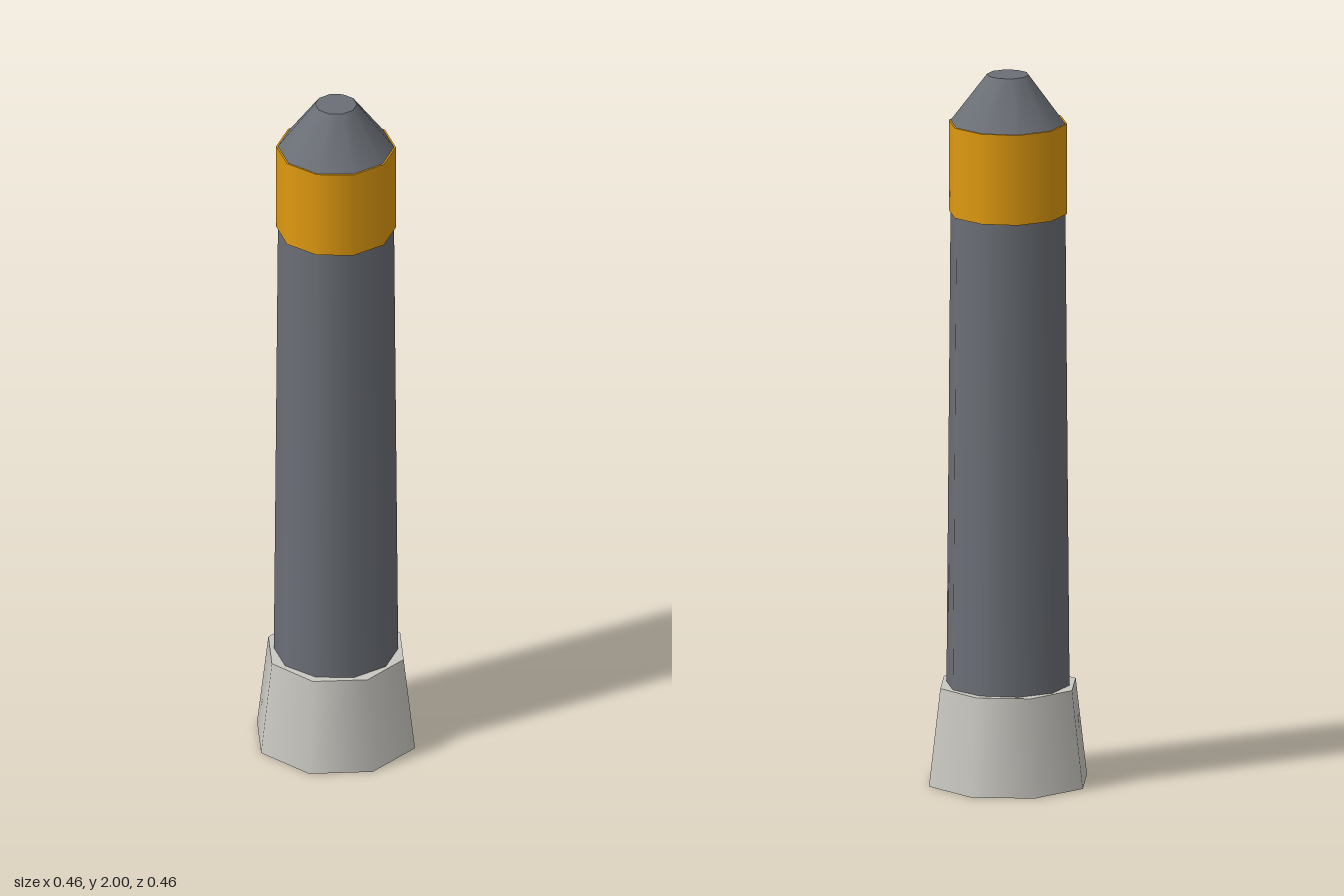
import * as THREE from 'three';

const material = (name, color) => {
  const m = new THREE.MeshStandardMaterial({ color });
  m.name = name;
  return m;
};

export function createModel() {
  const grey = material('slate grey', 0x6b6f76);
  const amber = material('amber', 0xe09a10);
  const stone = material('pale concrete', 0xc9c7c1);

  const model = new THREE.Group();
  model.name = 'bollard';

  // Tapered, smooth-sided segment between two heights
  const segment = (name, mat, y0, y1, r0, r1, sides) => {
    const geometry = new THREE.CylinderGeometry(r1, r0, y1 - y0, sides);
    const mesh = new THREE.Mesh(geometry, mat);
    mesh.name = name;
    mesh.position.y = (y0 + y1) / 2;
    model.add(mesh);
  };

  segment('base', stone, 0, 0.275, 0.23, 0.197, 8);
  segment('post', grey, 0.2, 1.62, 0.172, 0.16, 10);
  segment('band', amber, 1.61, 1.865, 0.165, 0.165, 10);
  segment('cap', grey, 1.865, 2, 0.16, 0.058, 10);

  return model;
}
